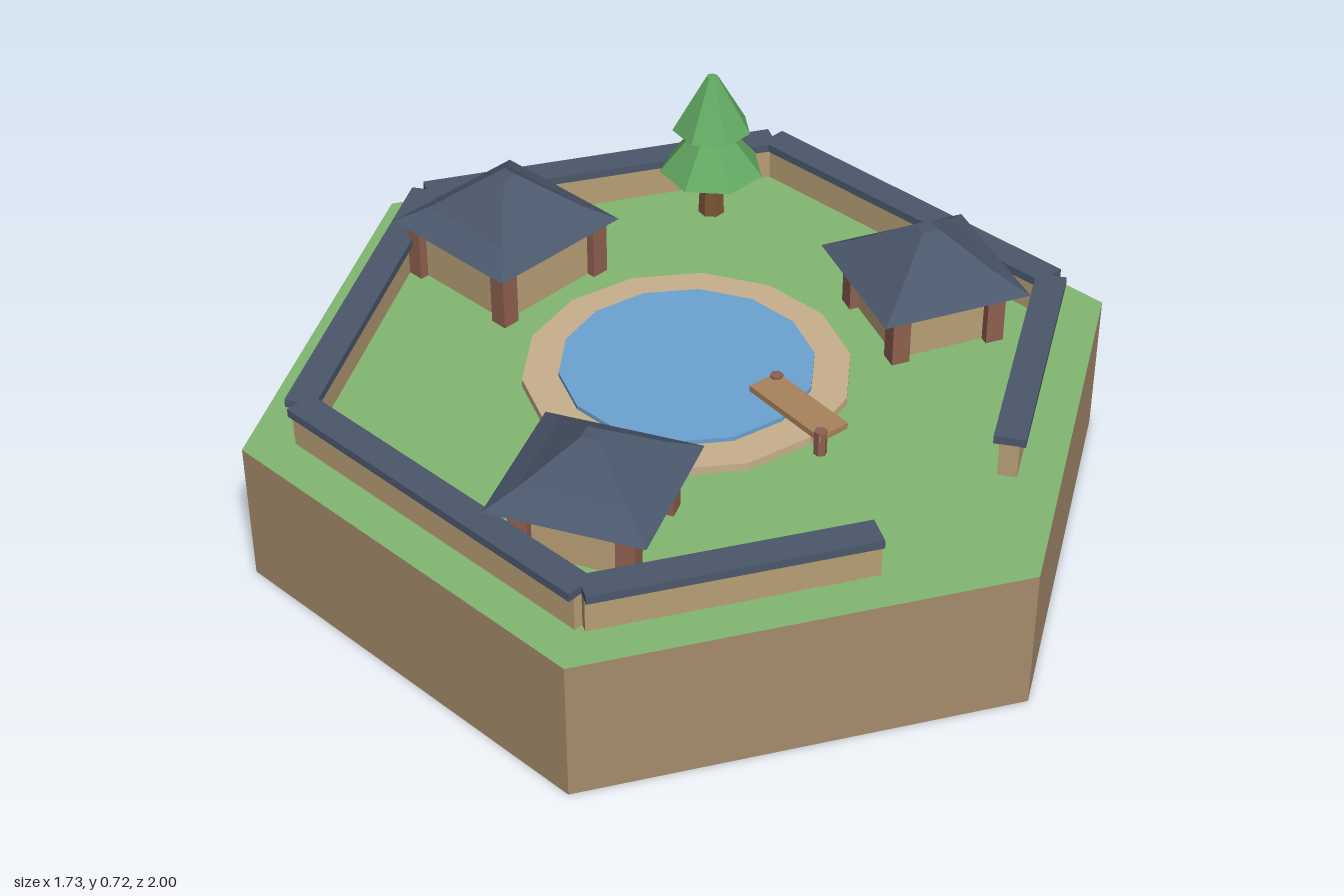
import * as THREE from 'three';

const mat = (color) => new THREE.MeshStandardMaterial({ color, flatShading: true });
const earth = mat(0xa58c6c), grass = mat(0x82b872), plaster = mat(0xb89f76), tile = mat(0x4b586c);
const timber = mat(0x8f6050), water = mat(0x6ba3d0), stone = mat(0xc8b08c), plank = mat(0xa8835c);
const bark = mat(0x7a5638), leaf = mat(0x62a862);
const GROUND = 0.345;

function add(parent, name, geometry, material, x = 0, y = 0, z = 0) {
  const mesh = new THREE.Mesh(geometry, material);
  mesh.name = name;
  mesh.position.set(x, y, z);
  parent.add(mesh);
  return mesh;
}

function group(parent, name, x, z, turn) {
  const g = new THREE.Group();
  g.name = name;
  g.position.set(x, GROUND, z);
  g.rotation.y = turn;
  parent.add(g);
  return g;
}

// Frustum standing on y = bottom
function frustum(rTop, rBottom, bottom, top, sides, start = 0) {
  return new THREE.CylinderGeometry(rTop, rBottom, top - bottom, sides, 1, false, start)
    .translate(0, (top + bottom) / 2, 0);
}

// Square roof tier given by half widths
const roofTier = (halfTop, halfBottom, bottom, top) =>
  frustum(halfTop * Math.SQRT2, halfBottom * Math.SQRT2, bottom, top, 4, Math.PI / 4);

// Pavilion facing the pond: plaster body, corner posts, two-pitch roof
function pavilion(parent, name, x, z, post, eave, eaveY, topY) {
  const g = group(parent, name, x, z, Math.atan2(-x, -z));
  add(g, 'pavilionWalls', new THREE.BoxGeometry(post * 2, eaveY, post * 2), plaster, 0, eaveY / 2, 0);
  for (const sx of [-1, 1]) for (const sz of [-1, 1])
    add(g, 'cornerPost', new THREE.BoxGeometry(0.043, eaveY, 0.043), timber, sx * post, eaveY / 2, sz * post);
  const breakHalf = eave * 0.68, breakY = eaveY + 0.037;
  add(g, 'lowerRoof', roofTier(breakHalf, eave, eaveY, breakY), tile);
  add(g, 'upperRoof', roofTier(0.02, breakHalf, breakY, topY), tile);
}

// Wall along one hexagon side, from corner a towards corner b
function wall(parent, a, b, part) {
  const dx = (b[0] - a[0]) * part, dz = (b[1] - a[1]) * part;
  const length = Math.hypot(dx, dz);
  const g = group(parent, 'perimeterWall', a[0] + dx / 2, a[1] + dz / 2, Math.atan2(-dz, dx));
  add(g, 'wallBody', new THREE.BoxGeometry(length, 0.083, 0.043), plaster, 0, 0.0415, 0);
  add(g, 'wallCap', new THREE.BoxGeometry(length, 0.02, 0.07), tile, 0, 0.092, 0);
}

export function createModel() {
  const model = new THREE.Group();
  model.name = 'courtyard';

  // Hexagonal plot with a grass top
  add(model, 'plot', frustum(1, 1, 0, GROUND, 6), [earth, grass, earth]);

  // Perimeter walls, with an entrance gap at the front corner
  const corners = Array.from({ length: 6 }, (_, i) => {
    const t = (i * Math.PI) / 3;
    return [0.866 * Math.sin(t), 0.866 * Math.cos(t)];
  });
  for (let i = 1; i < 5; i++) wall(model, corners[i], corners[i + 1], 1);
  wall(model, corners[1], corners[0], 0.72);
  wall(model, corners[5], corners[0], 0.72);

  // Pond
  const pond = group(model, 'pond', 0, 0, 0);
  add(pond, 'pondRim', frustum(0.37, 0.37, 0, 0.02, 14), stone);
  add(pond, 'pondWater', frustum(0.288, 0.288, 0, 0.031, 14), water);

  // Small jetty over the pond's front edge
  const jetty = group(model, 'jetty', 0.035, 0.302, -0.13);
  add(jetty, 'jettyDeck', new THREE.BoxGeometry(0.08, 0.015, 0.235), plank, 0, 0.047, 0);
  for (const s of [-1, 1])
    add(jetty, 'jettyPost', frustum(0.015, 0.015, 0, 0.06, 6), timber, -s * 0.028, 0, s * 0.107);

  // Pavilions
  pavilion(model, 'mainPavilion', 0, -0.585, 0.143, 0.185, 0.143, 0.268);
  for (const s of [-1, 1]) pavilion(model, 'sidePavilion', s * 0.525, 0.242, 0.117, 0.178, 0.137, 0.255);

  // Conifer
  const tree = group(model, 'tree', 0.52, -0.42, Math.PI);
  add(tree, 'trunk', frustum(0.025, 0.032, 0, 0.16, 7), bark);
  add(tree, 'lowerFoliage', frustum(0.02, 0.126, 0.122, 0.255, 7), leaf);
  add(tree, 'upperFoliage', frustum(0.014, 0.095, 0.235, 0.375, 7), leaf);

  return model;
}
